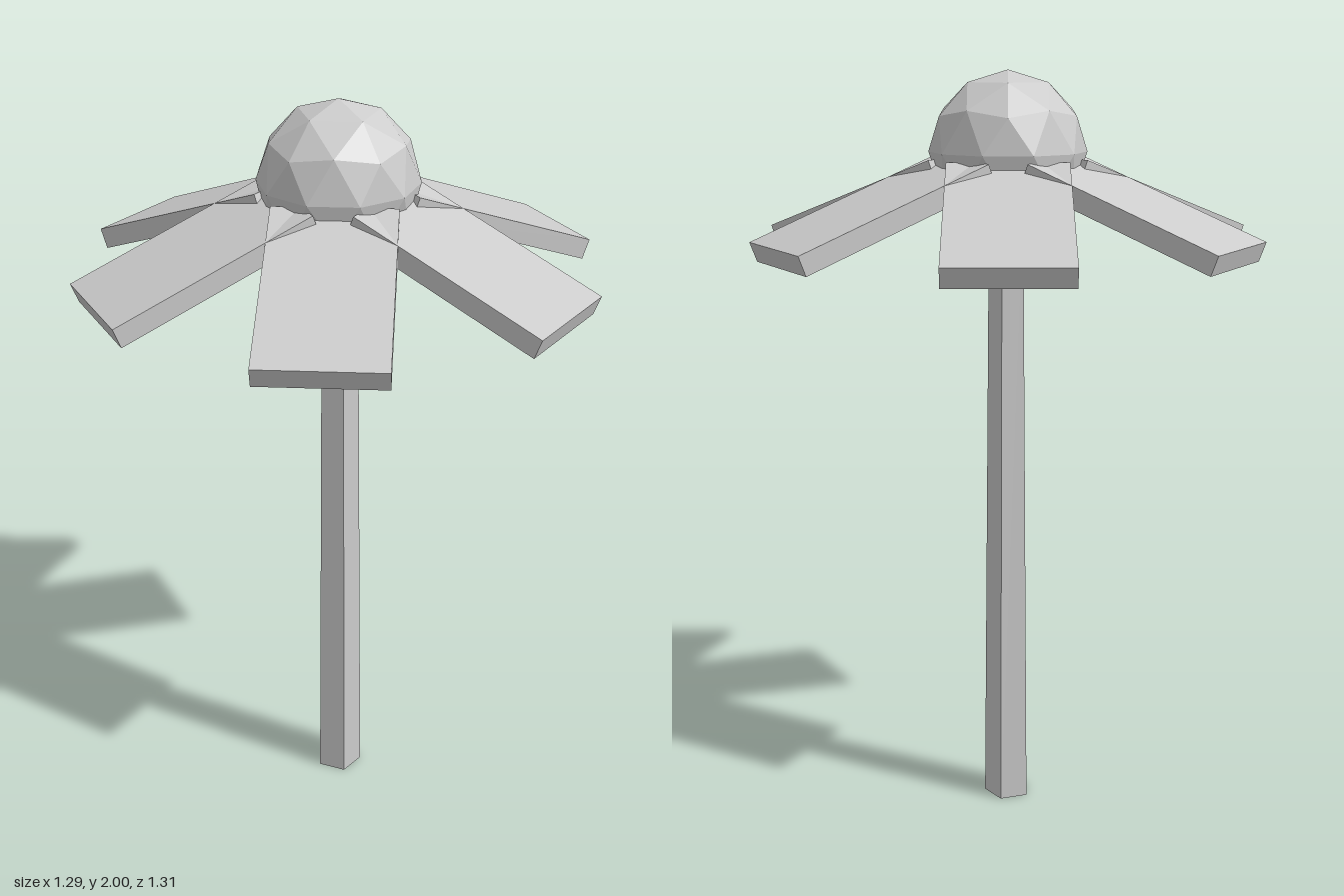
import * as THREE from 'three';

export function createModel() {
  const model = new THREE.Group();
  model.name = 'flower';
  const grey = new THREE.MeshStandardMaterial({ color: 0xcccccc, flatShading: true });
  grey.name = 'pale grey';

  const add = (name, geometry, parent = model) => {
    const mesh = new THREE.Mesh(geometry, grey);
    mesh.name = name;
    parent.add(mesh);
    return mesh;
  };

  // Five-sided tapering stem, one edge towards +x
  const stemHeight = 1.68;
  const stem = new THREE.CylinderGeometry(0.049, 0.065, stemHeight, 5, 1, false, Math.PI / 2);
  add('stem', stem.translate(0, stemHeight / 2, 0));

  // Faceted flower centre, turned so that a corner points straight up
  const centre = new THREE.IcosahedronGeometry(0.205, 1);
  centre.rotateX(Math.atan((1 + Math.sqrt(5)) / 2));
  add('flowerCentre', centre.translate(0, 1.795, 0));

  // Six drooping slab petals
  const petals = new THREE.Group();
  petals.name = 'petals';
  model.add(petals);
  const petal = new THREE.BoxGeometry(0.31, 0.053, 0.545);
  petal.rotateX(0.36).translate(0, 1.656, 0.39);
  for (let i = 0; i < 6; i++) {
    add('petal', petal, petals).rotation.y = (i * Math.PI) / 3;
  }

  return model;
}
